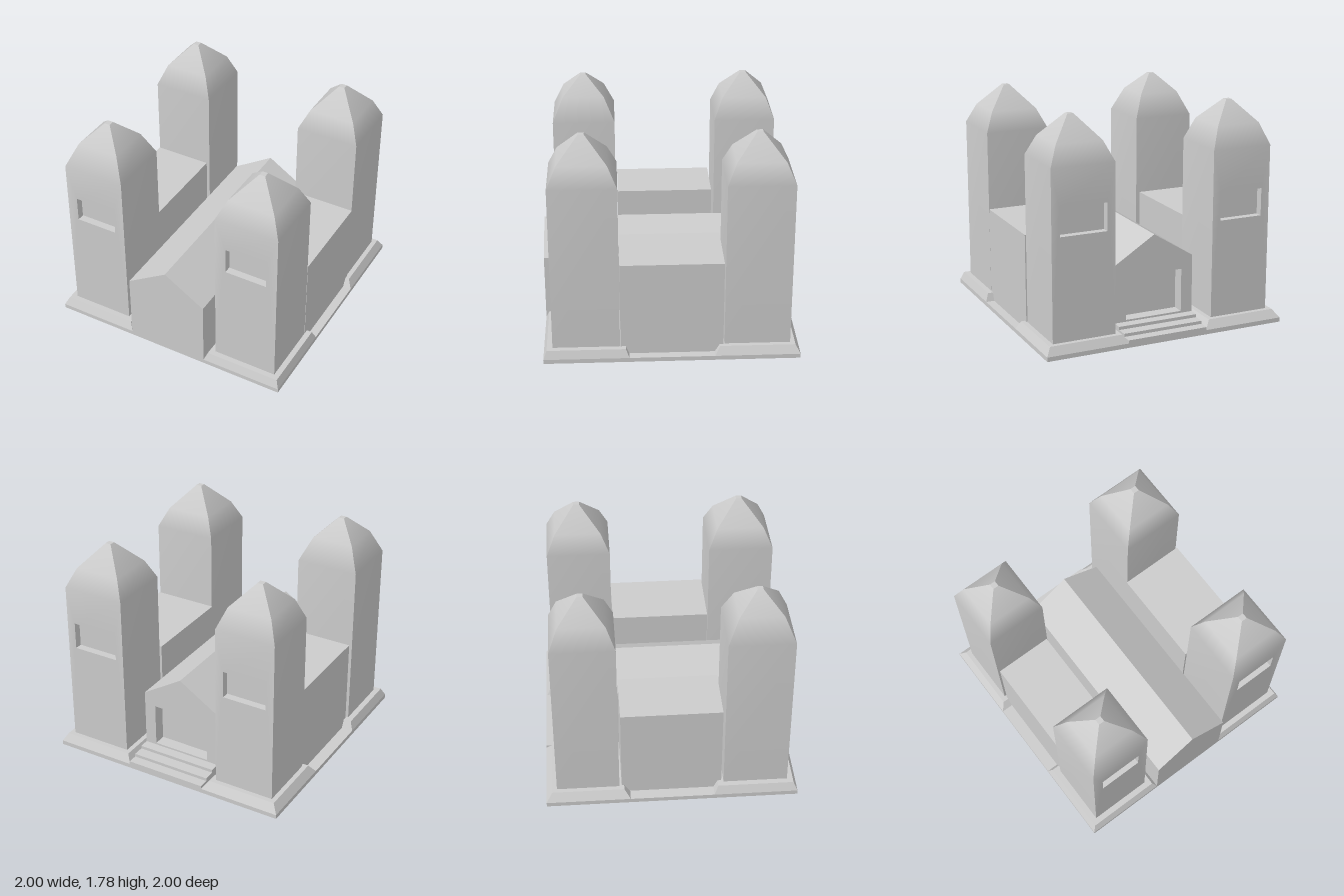
import * as THREE from 'three';
import { mergeGeometries, mergeVertices } from 'three/addons/utils/BufferGeometryUtils.js';

const mat = new THREE.MeshStandardMaterial({ color: 0xcccccc });
const flat = new THREE.MeshStandardMaterial({ color: 0xcccccc, flatShading: true });
const BASE = 0.035, PLINTH = 0.1, EAVE = 1.44, TIP = 1.78, CENTRE = 0.667;

function mesh(name, geometry, parent, material = flat) {
  const m = new THREE.Mesh(geometry, material);
  m.name = name;
  parent.add(m);
  return m;
}

// Box given by its minimum and maximum corners
function box(name, [x0, y0, z0], [x1, y1, z1], parent) {
  const g = new THREE.BoxGeometry(x1 - x0, y1 - y0, z1 - z0);
  return mesh(name, g.translate((x0 + x1) / 2, (y0 + y1) / 2, (z0 + z1) / 2), parent);
}

function polygon(points, type = THREE.Shape) {
  return new type(points.map(([x, y]) => new THREE.Vector2(x, y)));
}

function rect(hw, y0, y1, type) {
  return polygon([[-hw, y0], [hw, y0], [hw, y1], [-hw, y1]], type);
}

// One tower side: upright wall running smoothly into a tapering roof panel
function towerSide(half, midHalf, midY, window) {
  const shape = rect(half, PLINTH, EAVE);
  if (window) shape.holes.push(rect(window.half, window.y0, window.y1, THREE.Path));
  const wall = new THREE.ShapeGeometry(shape).translate(0, 0, half);
  wall.deleteAttribute('uv');
  wall.deleteAttribute('normal');

  const pos = [], idx = [];
  [[half, EAVE], [midHalf, midY], [0.023, TIP]].forEach(([w, y], i) => {
    pos.push(-w, y, w, w, y, w);
    const a = 2 * i;
    if (i < 2) idx.push(a, a + 1, a + 3, a, a + 3, a + 2);
  });
  const roof = new THREE.BufferGeometry();
  roof.setAttribute('position', new THREE.Float32BufferAttribute(pos, 3));
  roof.setIndex(idx);

  const side = mergeVertices(mergeGeometries([wall, roof]));
  side.computeVertexNormals();
  return side;
}

// Inward-facing box without its front face
function niche({ half, y0, y1 }, frontZ, depth) {
  const g = new THREE.BoxGeometry(2 * half, y1 - y0, depth);
  const idx = Array.from(g.index.array).filter((_, i) => i < 24 || i >= 30);
  g.setIndex(idx.reverse());
  const open = g.toNonIndexed();
  open.computeVertexNormals();
  return open.translate(0, (y0 + y1) / 2, frontZ - depth / 2);
}

function tower(t) {
  const group = new THREE.Group();
  group.name = t.name;

  // Bevelled plinth
  const r = Math.SQRT2;
  const plinth = new THREE.CylinderGeometry(t.plinth * r, 0.333 * r, PLINTH - BASE, 4);
  plinth.rotateY(Math.PI / 4).translate(0, (PLINTH + BASE) / 2, 0);
  mesh('plinth', plinth, group);

  // Four sides, the outer one with a recessed window
  for (let k = 0; k < 4; k++) {
    const side = towerSide(t.half, t.mid[0], t.mid[1], k === 0 ? t.window : null);
    mesh('towerSide', side, group, mat).rotation.y = k * Math.PI / 2;
  }
  mesh('windowNiche', niche(t.window, t.half, 0.06), group);

  // Small flat tip
  const tip = new THREE.PlaneGeometry(0.046, 0.046).rotateX(-Math.PI / 2);
  mesh('roofTip', tip.translate(0, TIP, 0), group);

  group.position.set(t.sx * CENTRE, 0, t.sz * CENTRE);
  if (t.sz < 0) group.rotation.y = Math.PI;
  return group;
}

export function createModel() {
  const model = new THREE.Group();
  model.name = 'fortifiedHall';

  box('baseSlab', [-1, 0, -1], [1, BASE, 1], model);

  // Corner towers, each slightly different in size
  [
    { name: 'frontRightTower', sx: -1, sz: 1, half: 0.255, mid: [0.17, 1.63], plinth: 0.302,
      window: { half: 0.172, y0: 0.95, y1: 1.155 } },
    { name: 'frontLeftTower', sx: 1, sz: 1, half: 0.262, mid: [0.19, 1.595], plinth: 0.307,
      window: { half: 0.172, y0: 0.97, y1: 1.185 } },
    { name: 'backRightTower', sx: -1, sz: -1, half: 0.248, mid: [0.18, 1.61], plinth: 0.286,
      window: { half: 0.18, y0: 0.88, y1: 1.1 } },
    { name: 'backLeftTower', sx: 1, sz: -1, half: 0.257, mid: [0.187, 1.595], plinth: 0.295,
      window: { half: 0.19, y0: 0.92, y1: 1.14 } },
  ].forEach((t) => model.add(tower(t)));

  // Side wings between the towers
  box('leftWing', [0.397, BASE, -0.4], [0.93, 0.805, 0.4], model);
  box('rightWing', [-0.905, BASE, -0.4], [-0.435, 0.8, 0.395], model);

  // Gabled hall: solid body plus a back wall pierced by the doorway
  const gable = () => polygon([[-0.335, 0], [0.335, 0], [0.335, 0.577], [0, 0.787], [-0.335, 0.577]]);
  const extrude = (shape, z0, z1) =>
    new THREE.ExtrudeGeometry(shape, { depth: z1 - z0, bevelEnabled: false }).translate(0, 0, z0);
  mesh('hall', extrude(gable(), -0.65, 1), model);
  const doorWall = gable();
  doorWall.holes.push(rect(0.24, 0.125, 0.475, THREE.Path));
  mesh('doorWall', extrude(doorWall, -0.75, -0.65), model);

  // Steps up to the door
  [[-1, 0.06], [-0.92, 0.085], [-0.83, 0.11]].forEach(([z, y]) =>
    box('step', [-0.335, BASE, z], [0.335, y, -0.75], model));

  return model;
}
